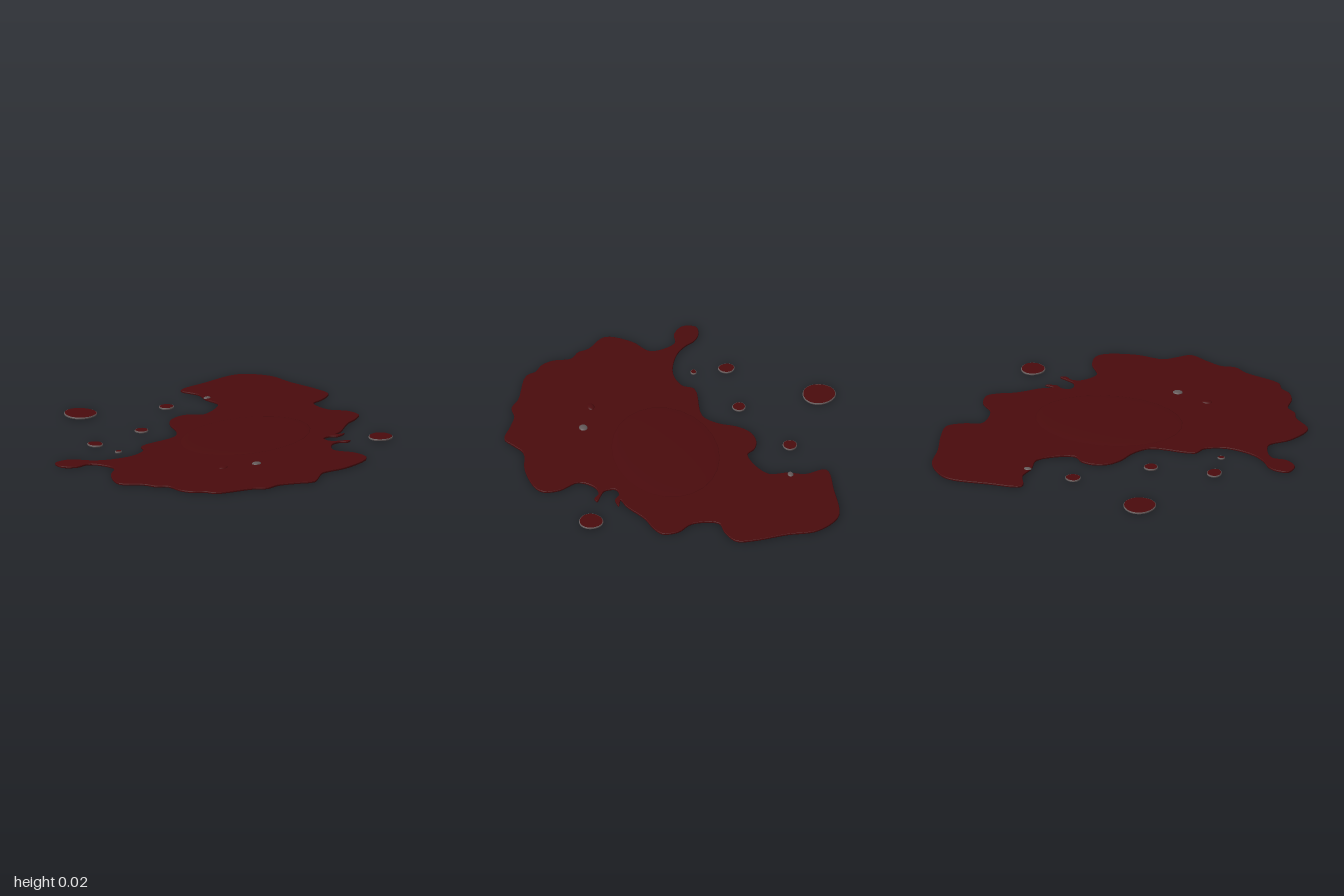
import * as THREE from 'three';

const darkRed = new THREE.MeshStandardMaterial({ color: 0x4a0b0d });
darkRed.name = 'darkRed';
const wetGrey = new THREE.MeshStandardMaterial({ color: 0x625858 });
wetGrey.name = 'wetGrey';

// Pool outline seen from above: x, z pairs in hundredths
const OUTLINE = [
  43, -76, 62, -77, 84, -76, 91, -71, 97, -60, 97, -45, 99, -26, 98, -16, 89, -11, 80, -9,
  78, 5, 84, 14, 84, 23, 78, 27, 69, 30, 56, 38, 50, 40, 55, 42, 49, 43, 45, 40,
  40, 41, 40, 47, 44, 50, 49, 53, 46, 54, 42, 51, 36, 52, 30, 60, 35, 71, 35, 80,
  31, 84, 14, 87, -2, 85, -9, 89, -16, 93, -26, 88, -35, 84, -43, 84, -50, 79, -70, 71,
  -73, 65, -78, 61, -81, 54, -81, 44, -86, 39, -88, 33, -97, 22, -90, 8, -80, 0, -81, -9,
  -85, -15, -93, -16, -99, -22, -97, -29, -90, -29, -85, -26, -81, -20, -74, -14, -58, -9,
  -46, -12, -42, -18, -17, -18, -9, -25, -4, -35, 2, -41, 10, -43, 17, -41, 22, -36,
  41, -44, 42, -55, 45, -64,
];

// Separate drops: x, z, radius along x, radius along z
const DROPS = [
  [-0.25, -0.845, 0.09, 0.092],
  [0.175, -0.605, 0.043, 0.04],
  [-0.573, -0.387, 0.041, 0.046],
  [-0.217, -0.392, 0.039, 0.037],
  [-0.572, -0.203, 0.021, 0.017],
  [0.657, 0.595, 0.067, 0.067],
];

// Thin slab with a rounded rim, lying on the ground
function slab(points, bevel, materials, name) {
  const height = 0.011;
  const lip = 0.004;
  const geometry = new THREE.ExtrudeGeometry(new THREE.Shape(points), {
    depth: height - 2 * lip, bevelEnabled: true, bevelThickness: lip,
    bevelSize: bevel, bevelOffset: -bevel, bevelSegments: 2,
  });
  geometry.rotateX(Math.PI / 2);
  geometry.translate(0, height - lip, 0);
  const mesh = new THREE.Mesh(geometry, materials);
  mesh.name = name;
  return mesh;
}

// Shallow dome swelling out of the liquid
function dome(x, y, z, rx, ry, rz, material, name) {
  const geometry = new THREE.SphereGeometry(1, 24, 6, 0, Math.PI * 2, 0, Math.PI / 2);
  const mesh = new THREE.Mesh(geometry, material);
  mesh.scale.set(rx, ry, rz);
  mesh.position.set(x, y, z);
  mesh.name = name;
  return mesh;
}

export function createModel() {
  const group = new THREE.Group();
  group.name = 'splatter';

  // Main pool
  const corners = [];
  for (let i = 0; i < OUTLINE.length; i += 2) {
    corners.push(new THREE.Vector3(OUTLINE[i] / 100, OUTLINE[i + 1] / 100, 0));
  }
  const curve = new THREE.CatmullRomCurve3(corners, true, 'centripetal');
  const rim = [];
  const steps = corners.length * 5;
  for (let i = 0; i < steps; i++) {
    const p = curve.getPoint(i / steps);
    rim.push(new THREE.Vector2(p.x, p.y));
  }
  group.add(slab(rim, 0.003, darkRed, 'pool'));

  // Slight swelling in the middle of the pool
  group.add(dome(0.12, 0.01, 0.08, 0.42, 0.006, 0.3, darkRed, 'poolSwell'));

  // Loose drops with a wet rim
  DROPS.forEach(([x, z, rx, rz], i) => {
    const points = [];
    for (let k = 0; k < 36; k++) {
      const a = (k / 36) * Math.PI * 2;
      const wobble = 1 + 0.02 * Math.sin(3 * a + i);
      points.push(new THREE.Vector2(x + rx * wobble * Math.cos(a), z + rz * wobble * Math.sin(a)));
    }
    group.add(slab(points, 0.004, [darkRed, wetGrey], 'drop' + (i + 1)));
  });

  // Small bubbles on the surface
  group.add(dome(-0.18, 0.01, 0.485, 0.028, 0.01, 0.024, wetGrey, 'frontBubble'));
  group.add(dome(0.44, 0.01, -0.56, 0.022, 0.008, 0.016, wetGrey, 'backBubble'));
  group.add(dome(-0.36, 0.01, 0.41, 0.03, 0.008, 0.02, darkRed, 'leftBubble'));
  return group;
}
